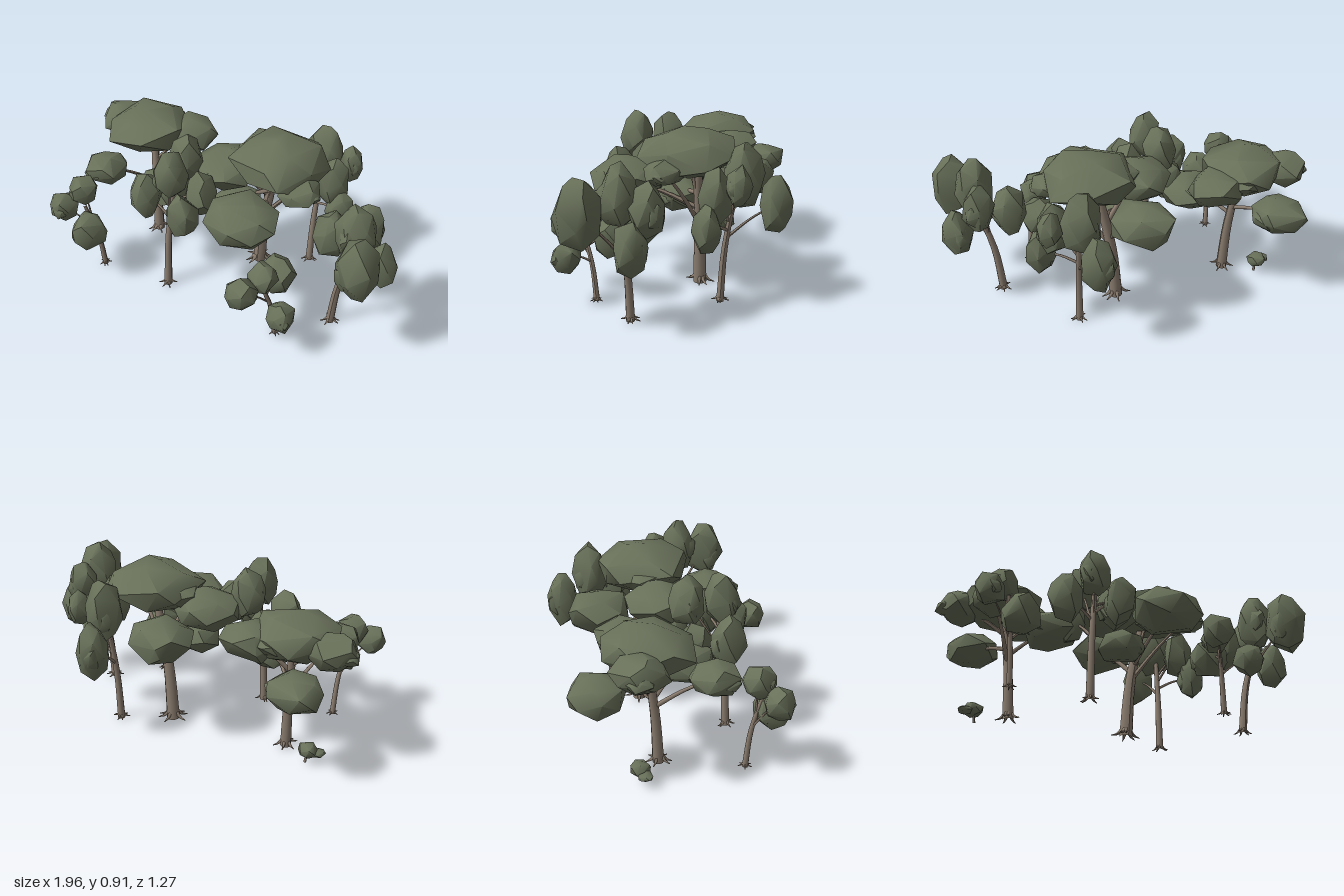
import * as THREE from 'three';
import { ConvexGeometry } from 'three/addons/geometries/ConvexGeometry.js';
import { toCreasedNormals } from 'three/addons/utils/BufferGeometryUtils.js';

const leafMat = new THREE.MeshStandardMaterial({ color: 0x687059 });
leafMat.name = 'dull green leaves';
const barkMat = new THREE.MeshStandardMaterial({ color: 0x8a7c6e });
barkMat.name = 'grey brown bark';

const vec = (x, y, z) => new THREE.Vector3(x, y, z);
// Leaf clump centre with its half width
const at = (x, y, z, size) => ({ centre: vec(x, y, z), size });

let seed = 7;
function rand() {
  seed = (seed * 16807) % 2147483647;
  return seed / 2147483647;
}

// Faceted leaf clump: convex hull of jittered points spiralling over an ellipsoid
function clump(name, centre, radius, ratio) {
  const points = [vec((rand() - 0.5) * 0.5, 1.04, (rand() - 0.5) * 0.5)];
  const count = 18, turn = rand() * 6.28;
  for (let i = 0; i < count; i++) {
    const h = 1 - (2 * i + 1) / count;
    const a = i * 2.4 + turn + (rand() - 0.5) * 0.5;
    const r = Math.sqrt(1 - h * h);
    points.push(vec(Math.cos(a) * r, h, Math.sin(a) * r).multiplyScalar(0.92 + rand() * 0.2));
  }
  const size = vec(radius, radius * ratio, radius);
  points.forEach((p) => p.multiply(size));
  const mesh = new THREE.Mesh(toCreasedNormals(new ConvexGeometry(points), 0.8), leafMat);
  mesh.position.copy(centre);
  mesh.name = name;
  return mesh;
}

// Tapered limb along a smooth path
function limb(name, points, r0, r1, sides = 6) {
  const curve = new THREE.CatmullRomCurve3(points);
  const rings = 8;
  const geo = new THREE.TubeGeometry(curve, rings, 1, sides);
  const pos = geo.attributes.position;
  const v = new THREE.Vector3();
  for (let i = 0; i <= rings; i++) {
    const centre = curve.getPointAt(i / rings);
    const r = THREE.MathUtils.lerp(r0, r1, i / rings);
    for (let j = 0; j <= sides; j++) {
      const k = i * (sides + 1) + j;
      v.fromBufferAttribute(pos, k).sub(centre).multiplyScalar(r).add(centre);
      pos.setXYZ(k, v.x, v.y, v.z);
    }
  }
  geo.computeVertexNormals();
  const mesh = new THREE.Mesh(geo, barkMat);
  mesh.name = name;
  return mesh;
}

// Tree from foot to top; every leaf clump gets its own branch and side tuft.
// ratio is clump height over width; very wide caps are flatter.
function makeTree(name, radius, foot, top, ratio, clumps) {
  const tree = new THREE.Group();
  tree.name = name;

  // Trunk stays upright low down and leans more towards its top
  const bend = foot.clone().lerp(top, 0.28).setY(top.y * 0.48);
  const path = [foot, bend, top];
  const curve = new THREE.CatmullRomCurve3(path);
  tree.add(limb('trunk', path, radius, radius * 0.6, 10));

  // Thin root spurs flaring from the foot
  for (let i = 0; i < 6; i++) {
    const a = i * 1.047 + rand();
    const spur = (out, y) => vec(foot.x + Math.cos(a) * out * radius, y, foot.z + Math.sin(a) * out * radius);
    tree.add(limb('root', [spur(0.7, radius), spur(1.4, radius * 0.4), spur(2.3, radius * 0.15)],
      radius * 0.35, 0.002, 5));
  }

  clumps.forEach(({ centre, size }, i) => {
    const start = curve.getPointAt(0.52 + 0.07 * (i % 5));
    const middle = start.clone().lerp(centre, 0.5);
    middle.y += 0.015;
    tree.add(limb('branch', [start, middle, centre], radius * 0.42, radius * 0.2));
    const height = size > 0.22 ? ratio * 0.82 : ratio;
    tree.add(clump('leafClump', centre, size, height));

    const a = rand() * 6.28;
    const side = vec(Math.cos(a), -0.2 * height, Math.sin(a)).multiplyScalar(size * 0.5);
    tree.add(clump('leafTuft', side.add(centre), size * 0.52, height));
  });
  return tree;
}

// Wide spreading trees: one large cap with smaller clumps around and below
function broadTrees() {
  return [
    makeTree('broadTree', 0.037, vec(0.11, 0, -0.15), vec(0.2, 0.66, -0.14), 0.62, [
      at(0.24, 0.77, -0.1, 0.26), at(0.05, 0.6, -0.38, 0.18), at(0.18, 0.6, 0.25, 0.2),
      at(-0.06, 0.68, -0.06, 0.18), at(0.02, 0.48, -0.02, 0.14), at(0.4, 0.7, 0.02, 0.12),
    ]),
    makeTree('leftBackTree', 0.031, vec(-0.57, 0, -0.16), vec(-0.61, 0.64, -0.23), 0.62, [
      at(-0.63, 0.69, -0.22, 0.24), at(-0.41, 0.48, 0.01, 0.165), at(-0.71, 0.51, -0.49, 0.155),
      at(-0.41, 0.65, -0.31, 0.155), at(-0.84, 0.67, -0.29, 0.14), at(-0.75, 0.56, 0.09, 0.13),
    ]),
  ];
}

// Slim trees and saplings with upright clumps
function slimTrees() {
  return [
    makeTree('tallFrontTree', 0.023, vec(-0.28, 0, 0.27), vec(-0.24, 0.7, 0.22), 1.45, [
      at(-0.25, 0.75, 0.24, 0.095), at(-0.25, 0.75, 0.05, 0.095), at(-0.41, 0.57, 0.24, 0.1),
      at(-0.14, 0.57, 0.33, 0.092), at(-0.11, 0.62, 0.17, 0.095), at(-0.32, 0.52, 0.08, 0.09),
    ]),
    makeTree('rightTree', 0.023, vec(0.67, 0, 0.17), vec(0.78, 0.56, 0.2), 1.55, [
      at(0.77, 0.68, 0.21, 0.105), at(0.85, 0.6, 0.39, 0.115), at(0.8, 0.62, 0.07, 0.09),
      at(0.91, 0.46, 0.14, 0.088), at(0.62, 0.54, 0.11, 0.095),
    ]),
    makeTree('rightBackTree', 0.021, vec(0.38, 0, -0.27), vec(0.4, 0.6, -0.34), 1.65, [
      at(0.4, 0.69, -0.38, 0.105), at(0.38, 0.54, -0.55, 0.092), at(0.56, 0.45, -0.2, 0.082),
      at(0.5, 0.61, -0.24, 0.09), at(0.56, 0.68, -0.36, 0.065),
    ]),
    makeTree('leftSapling', 0.016, vec(-0.7, 0, 0.27), vec(-0.75, 0.46, 0.34), 1, [
      at(-0.86, 0.45, 0.38, 0.085), at(-0.7, 0.34, 0.4, 0.105), at(-0.77, 0.53, 0.3, 0.085),
    ]),
    makeTree('rightSapling', 0.016, vec(0.43, 0, 0.38), vec(0.37, 0.4, 0.46), 1.05, [
      at(0.51, 0.27, 0.52, 0.08), at(0.31, 0.38, 0.56, 0.085), at(0.37, 0.41, 0.43, 0.085),
      at(0.4, 0.34, 0.3, 0.105),
    ]),
  ];
}

// Low shrub by the left back tree
function makeShrub() {
  const shrub = new THREE.Group();
  shrub.name = 'shrub';
  const heart = vec(-0.73, 0.075, -0.28);
  shrub.add(clump('shrubLeaves', heart, 0.055, 0.75));
  shrub.add(clump('shrubLeaves', vec(-0.78, 0.06, -0.26), 0.04, 0.6));
  shrub.add(limb('shrubStem', [vec(-0.72, 0, -0.28), heart], 0.008, 0.005));
  return shrub;
}

export function createModel() {
  seed = 7;
  const grove = new THREE.Group();
  grove.name = 'grove';
  grove.add(...broadTrees(), ...slimTrees(), makeShrub());
  return grove;
}
